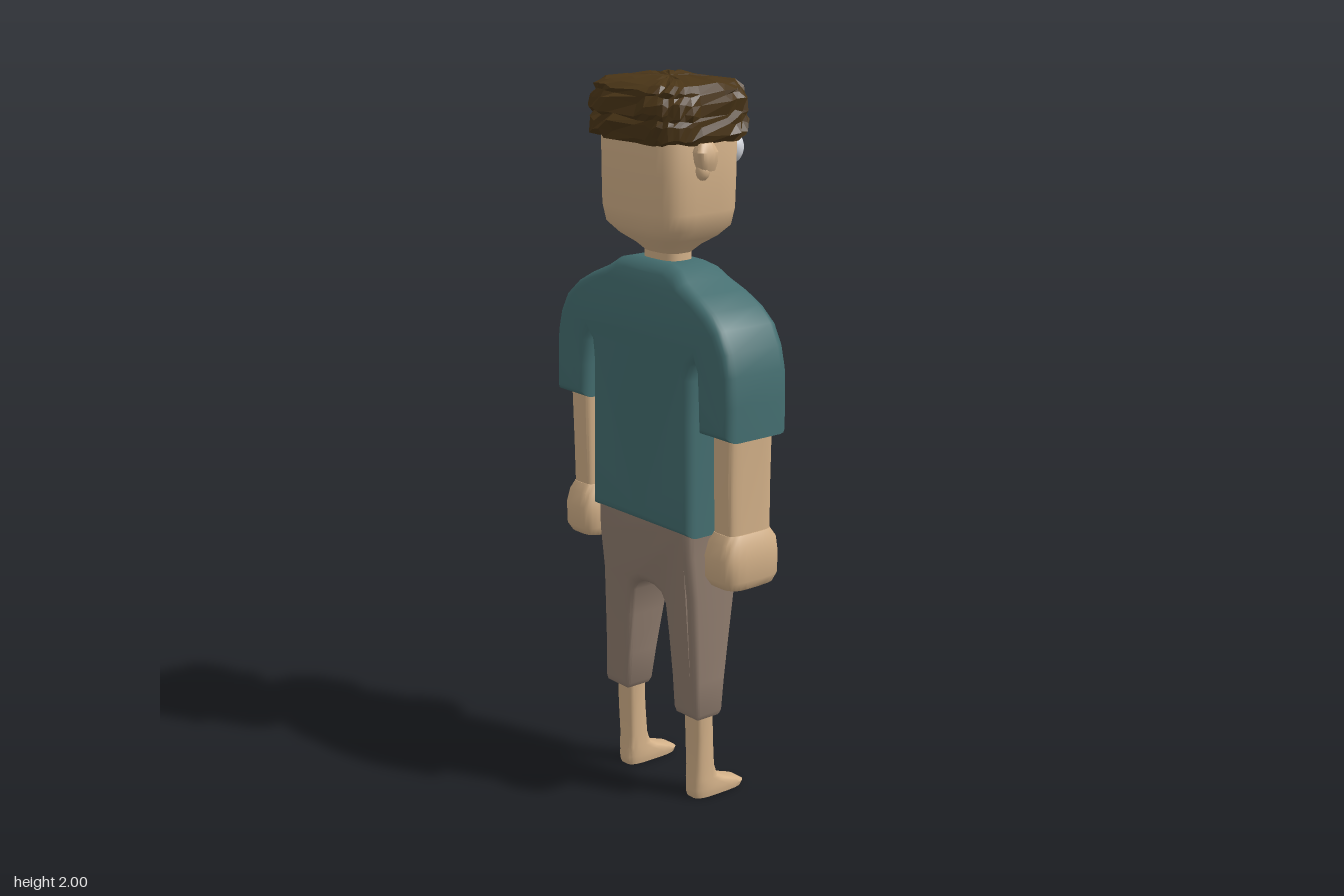
import * as THREE from 'three';
import { toCreasedNormals } from 'three/addons/utils/BufferGeometryUtils.js';

const mat = (name, color) => {
  const m = new THREE.MeshStandardMaterial({ color });
  m.name = name;
  return m;
};

// Seeded random in -1..1
let seed = 7;
const rnd = () => {
  seed = (seed * 16807) % 2147483647;
  return (seed / 2147483647) * 2 - 1;
};

// Closed skin over rounded-square rings, bottom to top: [y, centreX, halfX, zMin, zMax, power]
function loft(sections, n = 28, move = (p) => p, crease = 0.7) {
  const pos = [], idx = [];
  const rows = sections.length;
  const sp = (v, p) => Math.sign(v) * Math.abs(v) ** (2 / p);
  sections.forEach(([y, cx, hx, z0, z1, p = 4], r) => {
    for (let i = 0; i < n; i++) {
      const a = ((i + 0.5) / n) * Math.PI * 2;
      const v = new THREE.Vector3(cx + hx * sp(Math.cos(a), p), y, (z0 + z1) / 2 + ((z1 - z0) / 2) * sp(Math.sin(a), p));
      pos.push(...move(v, r, i).toArray());
    }
  });
  for (let r = 0; r < rows - 1; r++) {
    for (let i = 0; i < n; i++) {
      const a = r * n + i, b = r * n + ((i + 1) % n);
      idx.push(a, a + n, b, b, a + n, b + n);
    }
  }
  for (const r of [0, rows - 1]) {
    const [y, cx, , z0, z1] = sections[r];
    const c = pos.length / 3;
    pos.push(cx, y, (z0 + z1) / 2);
    for (let i = 0; i < n; i++) {
      const a = r * n + i, b = r * n + ((i + 1) % n);
      if (r === 0) idx.push(c, a, b);
      else idx.push(c, b, a);
    }
  }
  const g = new THREE.BufferGeometry();
  g.setAttribute('position', new THREE.Float32BufferAttribute(pos, 3));
  g.setIndex(idx);
  return toCreasedNormals(g, crease);
}

// Linear lookup in rows of [y, zMin, zMax]
function depthAt(table, y) {
  let k = 0;
  while (k < table.length - 2 && y > table[k + 1][0]) k++;
  const [a, b] = [table[k], table[k + 1]];
  const t = THREE.MathUtils.clamp((y - a[0]) / (b[0] - a[0]), 0, 1);
  return [a[1] + (b[1] - a[1]) * t, a[2] + (b[2] - a[2]) * t];
}

// Soft-edged garment: mirrored half outline (top centre to bottom centre), depth following a table
function garment(half, depths, bevel) {
  const pts = half.map(([x, y]) => new THREE.Vector2(x, y));
  const left = half.slice().reverse().filter(([x]) => x > 0).map(([x, y]) => new THREE.Vector2(-x, y));
  const g = new THREE.ExtrudeGeometry(new THREE.Shape([...pts, ...left]), {
    depth: 0.2 - 2 * bevel, bevelSize: bevel, bevelThickness: bevel, bevelOffset: -bevel, bevelSegments: 4,
  });
  g.translate(0, 0, bevel);
  const p = g.attributes.position;
  for (let i = 0; i < p.count; i++) {
    const [z0, z1] = depthAt(depths, p.getY(i));
    p.setZ(i, z0 + (z1 - z0) * (p.getZ(i) / 0.2));
  }
  return toCreasedNormals(g, 0.8);
}

export function createModel() {
  seed = 7;
  const skin = mat('skin', 0xd2b088);
  const teal = mat('shirt teal', 0x446e70);
  const brown = mat('trouser brown', 0x8f7c6e);
  const dark = mat('hair brown', 0x4a3517);
  const white = mat('eye white', 0xd4d7dd);
  const black = mat('pupil black', 0x25262a);

  const model = new THREE.Group();
  const add = (name, geo, material, parent = model) => {
    const m = new THREE.Mesh(geo, material);
    m.name = name;
    parent.add(m);
    return m;
  };

  // Shirt with short sleeves
  add('shirt', garment([
    [0, 1.512], [0.08, 1.51], [0.125, 1.5], [0.16, 1.475], [0.22, 1.448], [0.28, 1.415], [0.325, 1.375],
    [0.355, 1.32], [0.37, 1.26], [0.374, 1.18], [0.374, 1.085], [0.24, 1.085], [0.236, 1.18], [0.232, 1.25],
    [0.224, 1.272], [0.214, 1.26], [0.208, 1.22], [0.208, 1.1], [0.21, 0.95], [0.213, 0.785], [0, 0.785],
  ], [[0.78, -0.095, 0.113], [1.38, -0.1, 0.113], [1.45, -0.092, 0.105], [1.49, -0.075, 0.09], [1.515, -0.055, 0.07]], 0.028), teal);

  // Cropped trousers with an arched crotch
  add('trousers', garment([
    [0, 0.82], [0.198, 0.82], [0.2, 0.72], [0.201, 0.6], [0.203, 0.48], [0.204, 0.36], [0.206, 0.265], [0.198, 0.25],
    [0.11, 0.25], [0.1, 0.265], [0.092, 0.36], [0.08, 0.48], [0.07, 0.56], [0.055, 0.585], [0.03, 0.597], [0, 0.6],
  ], [[0.25, -0.02, 0.075], [0.4, -0.04, 0.077], [0.6, -0.072, 0.086], [0.7, -0.08, 0.1], [0.82, -0.085, 0.104]], 0.025), brown);

  // Arms, hands, legs with feet
  for (const [side, s] of [['left', 1], ['right', -1]]) {
    const limb = (name, rows) => add(`${side}${name}`, loft(rows.map(([y, x, ...rest]) => [y, x * s, ...rest]), 24), skin);
    limb('Arm', [
      [0.78, 0.305, 0.042, -0.07, 0.075, 5], [0.95, 0.305, 0.041, -0.072, 0.08, 5], [1.14, 0.308, 0.043, -0.072, 0.083, 5],
    ]);
    limb('Hand', [
      [0.664, 0.305, 0.04, -0.05, 0.06], [0.672, 0.305, 0.054, -0.078, 0.085], [0.695, 0.305, 0.063, -0.09, 0.1],
      [0.755, 0.305, 0.063, -0.092, 0.102], [0.795, 0.305, 0.057, -0.088, 0.092], [0.82, 0.305, 0.045, -0.072, 0.078],
    ]);
    limb('LegAndFoot', [
      [0, 0.149, 0.034, -0.123, 0.048, 3.5], [0.012, 0.149, 0.036, -0.13, 0.052, 3.5], [0.024, 0.149, 0.036, -0.112, 0.052, 3.5],
      [0.04, 0.149, 0.035, -0.065, 0.051, 3.5], [0.055, 0.149, 0.034, -0.032, 0.05, 3.5], [0.09, 0.149, 0.033, -0.02, 0.048, 3.5],
      [0.18, 0.15, 0.036, -0.012, 0.05, 3.5], [0.28, 0.15, 0.037, -0.01, 0.052, 3.5],
    ]);
  }

  // Head and neck
  const head = new THREE.Group();
  head.name = 'head';
  model.add(head);
  add('skull', loft([
    [1.48, 0, 0.068, -0.042, 0.056, 2.8], [1.53, 0, 0.067, -0.042, 0.056, 2.8], [1.55, 0, 0.085, -0.07, 0.078, 3],
    [1.575, 0, 0.125, -0.1, 0.11, 3.5], [1.605, 0, 0.156, -0.122, 0.134], [1.65, 0, 0.165, -0.13, 0.142],
    [1.75, 0, 0.167, -0.133, 0.143], [1.86, 0, 0.168, -0.133, 0.143], [1.93, 0, 0.15, -0.115, 0.125],
  ], 36), skin, head);

  // Wedge nose, widening towards the tip
  add('nose', loft([
    [1.668, 0, 0.019, -0.168, -0.115, 5], [1.678, 0, 0.023, -0.179, -0.115, 5], [1.7, 0, 0.023, -0.177, -0.115, 5],
    [1.78, 0, 0.017, -0.157, -0.115, 5], [1.85, 0, 0.014, -0.14, -0.115, 5],
  ], 16), skin, head);

  for (const [side, s] of [['left', 1], ['right', -1]]) {
    // Ear: large upper lobe and small lower lobe
    add(`${side}Ear`, loft([
      [1.765, s * 0.178, 0.016, 0.002, 0.048, 3], [1.785, s * 0.181, 0.021, -0.002, 0.06, 3],
      [1.815, s * 0.182, 0.023, -0.003, 0.066, 3], [1.838, s * 0.178, 0.014, 0.008, 0.055, 3],
    ], 16), skin, head);
    add(`${side}EarLobe`, new THREE.SphereGeometry(0.02, 12, 8).scale(0.9, 1.25, 1).translate(s * 0.178, 1.765, 0.037), skin, head);

    // Bulging eye with a thin pupil disc
    add(`${side}Eye`, new THREE.SphereGeometry(0.043, 24, 16).scale(1, 1.05, 0.75).translate(s * 0.088, 1.803, -0.133), white, head);
    add(`${side}Pupil`, new THREE.CylinderGeometry(0.009, 0.009, 0.006, 12).rotateX(Math.PI / 2).translate(s * 0.088, 1.803, -0.164), black, head);
  }

  // Choppy layered hair, faceted
  const hairRows = [
    [1.845, 0.15, -0.115, 0.13, 0], [1.835, 0.176, -0.142, 0.153, 0.5], [1.85, 0.187, -0.156, 0.162, 1], [1.88, 0.188, -0.158, 0.163, 0.7],
    [1.897, 0.182, -0.15, 0.155, 0.5], [1.908, 0.19, -0.16, 0.164, 1], [1.938, 0.186, -0.158, 0.16, 0.8],
    [1.957, 0.176, -0.146, 0.15, 0.4], [1.967, 0.18, -0.148, 0.152, 0.7], [1.984, 0.158, -0.125, 0.13, 0.5],
    [1.991, 0.11, -0.085, 0.09, 0.5], [1.993, 0.05, -0.04, 0.045, 0.4],
  ];
  const hair = loft(hairRows.map(([y, hx, z0, z1]) => [y, 0, hx, z0, z1, 4.2]), 44, (v, r) => {
    const k = hairRows[r][4];
    const grow = 1 + k * 0.07 * rnd();
    v.x *= grow;
    v.z *= grow;
    v.y = Math.min(2, v.y + k * 0.009 * rnd());
    return v;
  }, 0.01);
  add('hair', hair, dark, head);

  return model;
}
